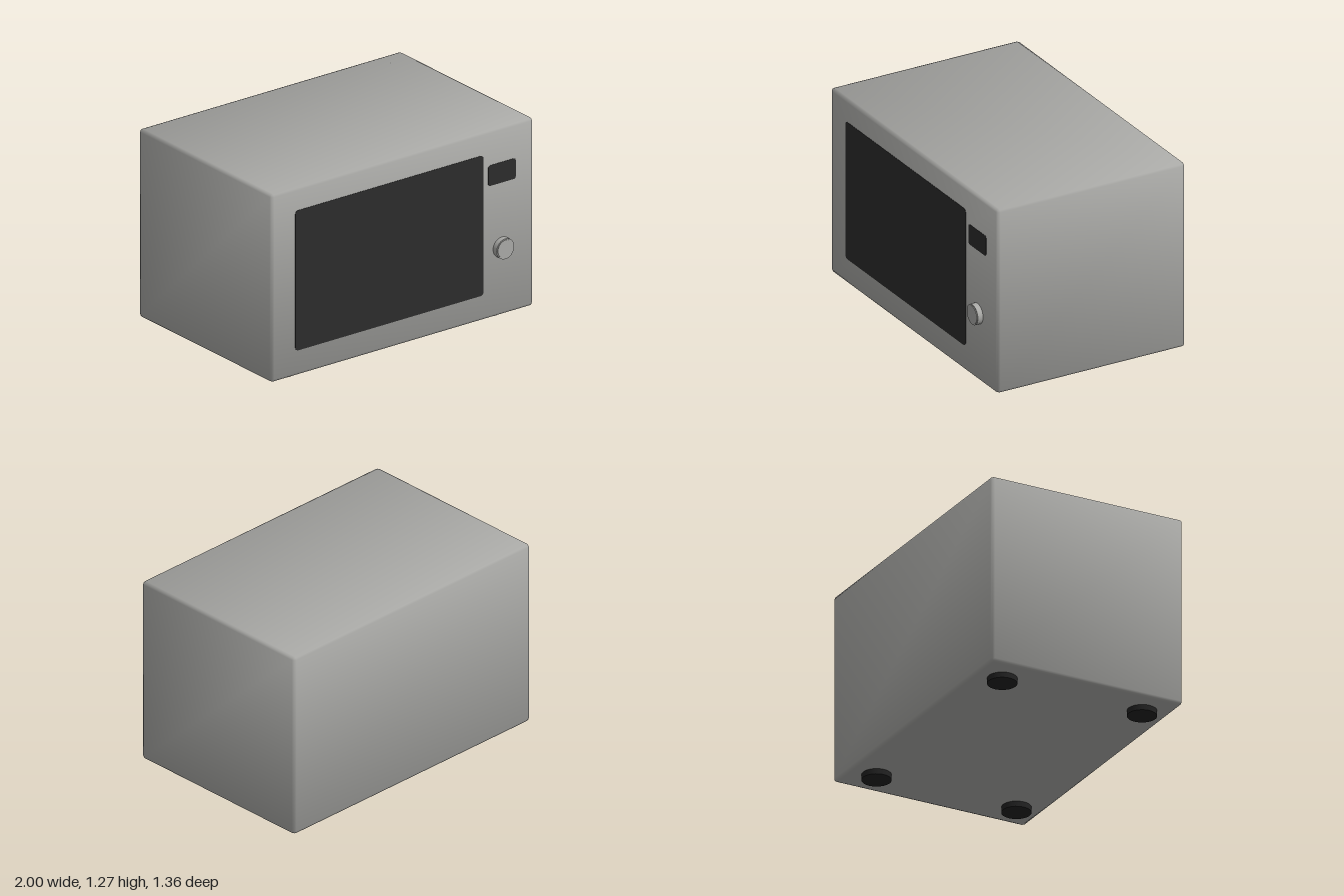
import * as THREE from 'three';

export function createModel() {
  const group = new THREE.Group();
  const material = (name, color) => {
    const m = new THREE.MeshStandardMaterial({ color });
    m.name = name;
    return m;
  };
  const steel = material('steel grey', 0xa9a9a6);
  const glass = material('dark glass', 0x2c2c2c);
  const rubber = material('black rubber', 0x222222);

  const add = (name, geometry, mat, x, y, z) => {
    const mesh = new THREE.Mesh(geometry, mat);
    mesh.name = name;
    mesh.position.set(x, y, z);
    group.add(mesh);
    return mesh;
  };

  // Box with small rounded edges and soft normals that lean outward at the corners
  function softBox(w, h, d, r, lean) {
    const geo = new THREE.BoxGeometry(w, h, d, 3, 3, 3);
    const pos = geo.attributes.position;
    const inner = new THREE.Vector3(w / 2 - r, h / 2 - r, d / 2 - r);
    const low = inner.clone().negate();
    // Slide the two inner loops of each axis out to the start of the rounding
    const snap = (v, full, core) => Math.sign(v) * (Math.abs(v) > full * 0.4 ? full / 2 : core);
    for (let i = 0; i < pos.count; i++) {
      const p = new THREE.Vector3(
        snap(pos.getX(i), w, inner.x), snap(pos.getY(i), h, inner.y), snap(pos.getZ(i), d, inner.z));
      const core = p.clone().clamp(low, inner);
      const n = p.clone().sub(core).normalize();
      core.addScaledVector(n, r);
      pos.setXYZ(i, core.x, core.y, core.z);
      const axes = ['x', 'y', 'z'];
      axes.forEach((a) => { if (Math.abs(n[a]) < 0.01) n[a] = lean * Math.sign(p[a]); });
      n.normalize();
      geo.attributes.normal.setXYZ(i, n.x, n.y, n.z);
    }
    return geo;
  }

  // Thin plate with rounded corners
  function plate(w, h, r) {
    const s = new THREE.Shape();
    const x = w / 2 - r, y = h / 2 - r;
    s.absarc(x, y, r, 0, Math.PI / 2);
    s.absarc(-x, y, r, Math.PI / 2, Math.PI);
    s.absarc(-x, -y, r, Math.PI, Math.PI * 1.5);
    s.absarc(x, -y, r, Math.PI * 1.5, Math.PI * 2);
    return new THREE.ExtrudeGeometry(s, { depth: 0.004, bevelEnabled: false, curveSegments: 5 });
  }

  // Housing
  const front = 0.64;
  add('housing', softBox(2, 1.235, 1.32, 0.02, 0.35), steel, 0, 0.6525, -0.02);

  // Door window and display
  add('doorWindow', plate(1.44, 0.92, 0.025), glass, -0.1, 0.66, front - 0.002);
  add('display', plate(0.21, 0.135, 0.015), glass, 0.76, 0.9725, front - 0.002);

  // Control knob with a raised face
  const disc = (name, r, from, to) => {
    const geo = new THREE.CylinderGeometry(r, r, to - from, 32);
    geo.rotateX(Math.PI / 2);
    add(name, geo, steel, 0.76, 0.48, (from + to) / 2);
  };
  disc('knob', 0.067, front - 0.01, 0.676);
  disc('knobFace', 0.06, 0.67, 0.68);

  // Feet
  const footGeo = new THREE.CylinderGeometry(0.092, 0.092, 0.04, 32);
  for (const x of [-0.8, 0.78]) {
    for (const z of [0.467, -0.5]) {
      add(`${z > 0 ? 'front' : 'back'}${x > 0 ? 'Left' : 'Right'}Foot`, footGeo, rubber, x, 0.02, z);
    }
  }

  return group;
}
